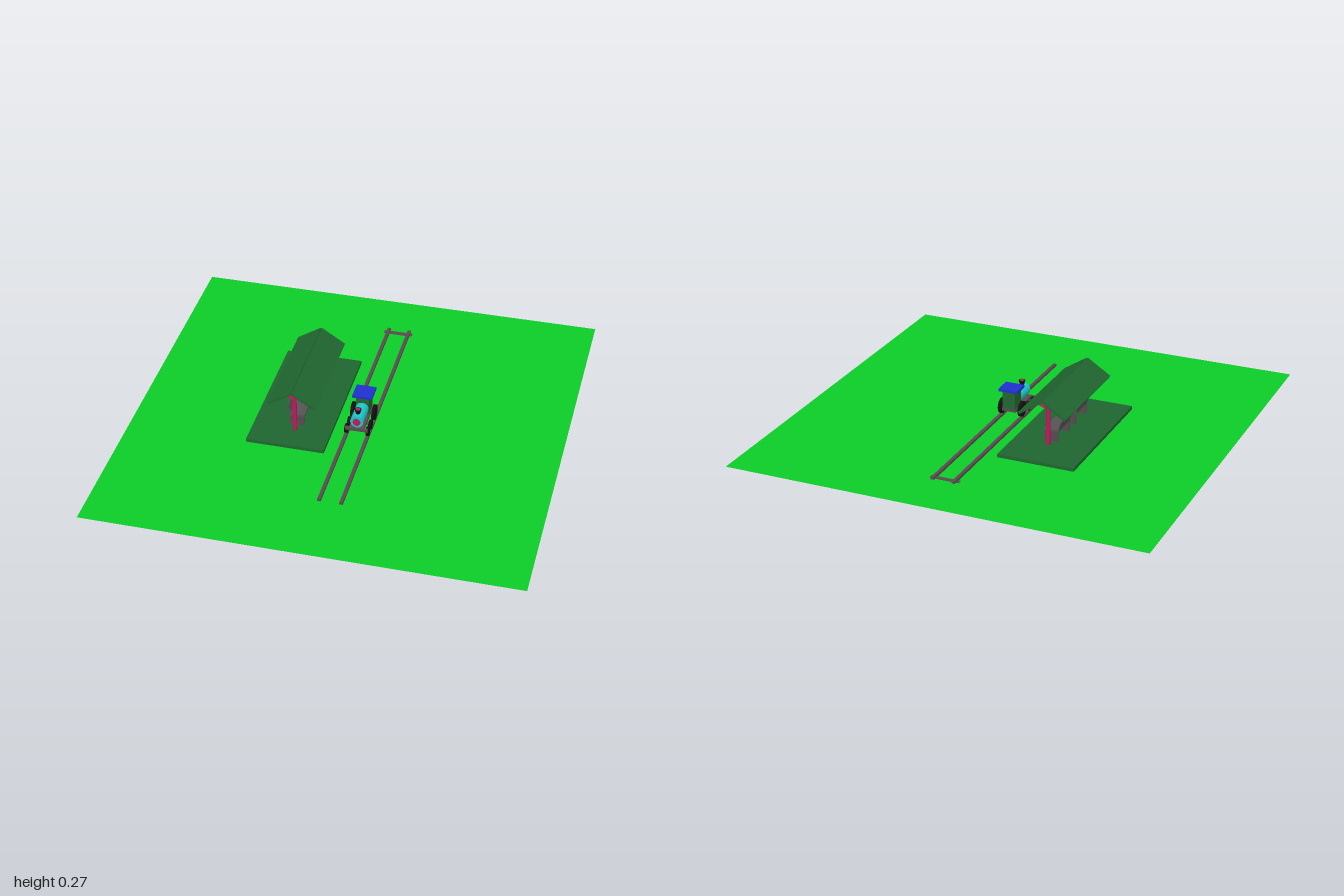
import * as THREE from 'three';

const mat = (color) => new THREE.MeshStandardMaterial({ color });
const GRASS = mat(0x0ccc28), GREEN = mat(0x20662f), PINK = mat(0xc2185b), STEEL = mat(0x5a4a50),
  GREY = mat(0x555555), BLACK = mat(0x111111), TEAL = mat(0x1cc8c8), BLUE = mat(0x2030d0);
GRASS.side = THREE.DoubleSide;

function add(parent, name, geometry, material, x, y, z) {
  const mesh = new THREE.Mesh(geometry, material);
  mesh.name = name;
  mesh.position.set(x, y, z);
  parent.add(mesh);
  return mesh;
}
const box = (w, h, d) => new THREE.BoxGeometry(w, h, d);
const cyl = (top, bottom, h, n = 32) => new THREE.CylinderGeometry(top, bottom, h, n);

function group(parent, name, x = 0, y = 0, z = 0) {
  const g = new THREE.Group();
  g.name = name;
  g.position.set(x, y, z);
  parent.add(g);
  return g;
}

// Flat beam in the xy plane from a to b
function beam(parent, name, a, b, thick, depth, material, z) {
  const dx = b[0] - a[0], dy = b[1] - a[1];
  const m = add(parent, name, box(Math.hypot(dx, dy), thick, depth), material,
    (a[0] + b[0]) / 2, (a[1] + b[1]) / 2, z);
  m.rotation.z = Math.atan2(dy, dx);
  return m;
}

// Bench facing the track, origin at floor level
function bench(parent, z) {
  const g = group(parent, 'bench', 0, 0.025, z);
  add(g, 'benchSeat', box(0.072, 0.01, 0.14), GREY, 0, 0.055, 0);
  beam(g, 'benchBack', [-0.033, 0.058], [-0.046, 0.1], 0.005, 0.13, GREY, 0);
  for (const s of [-1, 1]) add(g, 'benchLeg', box(0.068, 0.052, 0.007), STEEL, 0, 0.026, s * 0.064);
}

function station(parent) {
  const g = group(parent, 'station');
  add(g, 'platform', box(0.37, 0.019, 0.73), GREEN, -0.248, 0.0155, -0.065);
  const shelter = group(g, 'shelter', -0.232, 0, 0);
  for (const s of [-1, 1])
    beam(shelter, 'roofSlope', [0, 0.263], [s * 0.113, 0.19], 0.011, 0.545, GREEN, -0.045);
  for (const z of [0.175, -0.035, -0.243]) {
    add(shelter, 'post', cyl(0.01, 0.01, 0.235, 20), PINK, 0, 0.1425, z);
    for (const s of [-1, 1])
      beam(shelter, 'brace', [0, 0.2], [s * 0.06, 0.222], 0.008, 0.01, PINK, z);
  }
  bench(shelter, 0.07);
  bench(shelter, -0.14);
}

function track(parent) {
  const g = group(parent, 'track');
  for (const x of [0.003, 0.104]) add(g, 'rail', box(0.016, 0.011, 1.386), STEEL, x, 0.0145, -0.056);
  add(g, 'sleeper', box(0.14, 0.012, 0.022), STEEL, 0.0535, 0.006, -0.725);
}

function locomotive(parent) {
  const g = group(parent, 'locomotive', 0.0535, 0, 0);
  add(g, 'chassis', box(0.07, 0.013, 0.185), STEEL, 0, 0.056, 0.053);
  add(g, 'bumper', box(0.106, 0.014, 0.012), STEEL, 0, 0.056, 0.146);
  add(g, 'boiler', cyl(0.031, 0.031, 0.115), TEAL, 0, 0.095, 0.085).rotation.x = Math.PI / 2;
  add(g, 'boilerDoor', cyl(0.018, 0.018, 0.006), PINK, 0, 0.094, 0.144).rotation.x = Math.PI / 2;
  add(g, 'cab', box(0.062, 0.093, 0.072), GREEN, 0, 0.106, -0.003);
  add(g, 'cabRoof', box(0.094, 0.012, 0.09), BLUE, 0, 0.157, -0.008);
  add(g, 'chimney', cyl(0.016, 0.009, 0.024, 24), BLACK, 0, 0.136, 0.115);
  add(g, 'chimneyMouth', cyl(0.011, 0.011, 0.002, 24), PINK, 0, 0.148, 0.115);
  // Axles with wheels on both sides: radius, z
  for (const [r, z] of [[0.037, 0], [0.022, 0.075], [0.022, 0.13]]) {
    const y = 0.02 + r;
    add(g, 'axle', cyl(0.005, 0.005, 0.1, 12), STEEL, 0, y, z).rotation.z = Math.PI / 2;
    for (const s of [-1, 1])
      add(g, 'wheel', cyl(r, r, 0.014), BLACK, s * 0.0505, y, z).rotation.z = Math.PI / 2;
  }
}

export function createModel() {
  const model = new THREE.Group();
  model.name = 'railwayStation';
  add(model, 'ground', new THREE.PlaneGeometry(2, 2), GRASS, 0, 0.009, 0).rotation.x = -Math.PI / 2;
  station(model);
  track(model);
  locomotive(model);
  return model;
}
